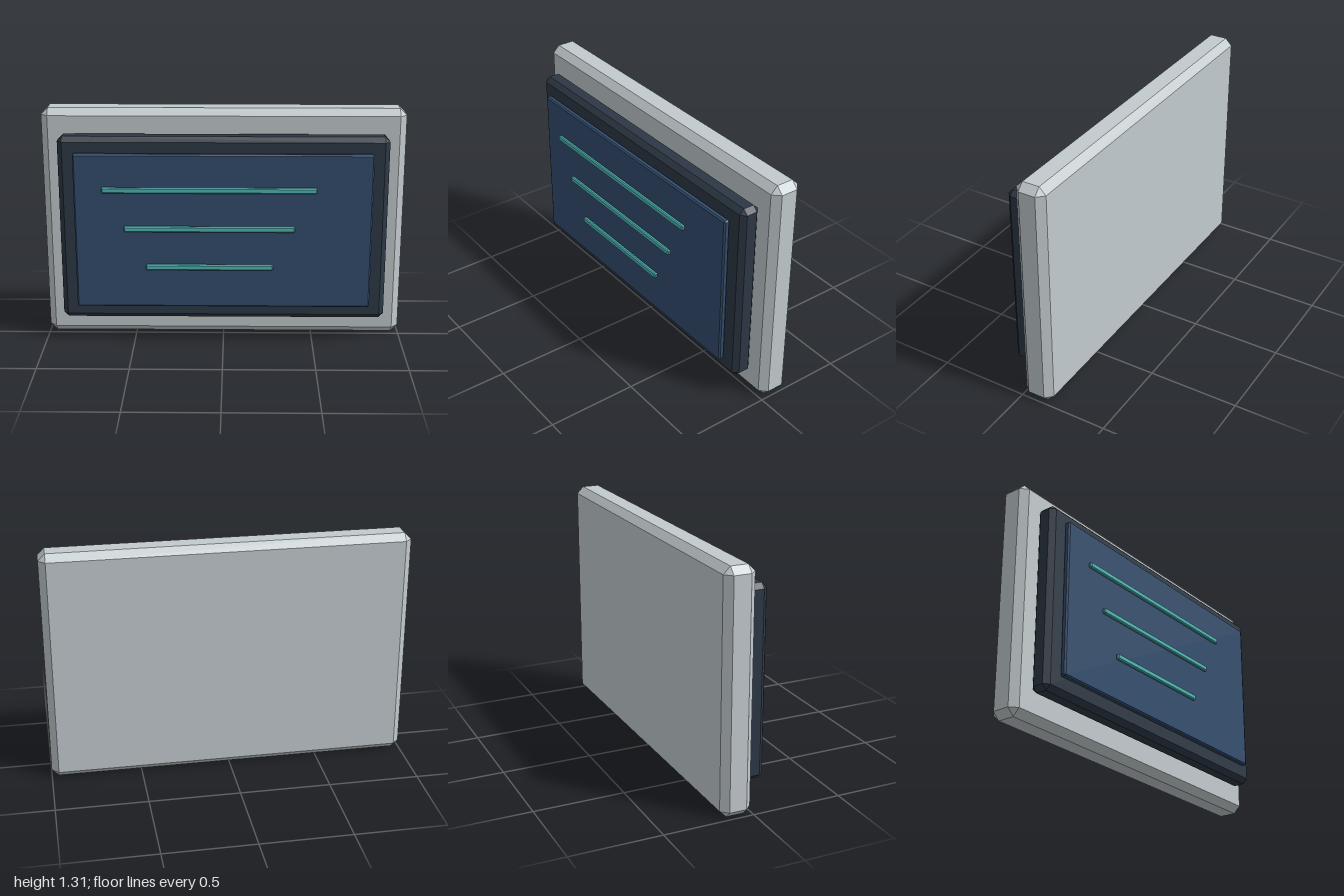
import * as THREE from 'three';
import { ConvexGeometry } from 'three/addons/geometries/ConvexGeometry.js';

// Box with every edge cut at 45 degrees and triangular corners
function chamferedBox(w, h, d, c) {
  const half = [w / 2, h / 2, d / 2];
  const points = [];
  for (const sx of [-1, 1]) for (const sy of [-1, 1]) for (const sz of [-1, 1]) {
    for (let full = 0; full < 3; full++) {
      const p = half.map((v, axis) => (axis === full ? v : v - c));
      points.push(new THREE.Vector3(p[0] * sx, p[1] * sy, p[2] * sz));
    }
  }
  return new ConvexGeometry(points);
}

export function createModel() {
  const group = new THREE.Group();
  const paint = (color) => new THREE.MeshStandardMaterial({ color, flatShading: true });
  const housingMat = paint(0xc3cbce);
  const bezelMat = paint(0x2d3845);
  const screenMat = paint(0x334d6e);
  const lineMat = paint(0x50b8b8);

  // Adds a chamfered slab spanning z0..z1, centred at (x, y)
  function slab(name, material, x, y, w, h, z0, z1, chamfer) {
    const mesh = new THREE.Mesh(chamferedBox(w, h, z1 - z0, chamfer), material);
    mesh.name = name;
    mesh.position.set(x, y, (z0 + z1) / 2);
    group.add(mesh);
  }

  // Layers from back to front
  slab('housing', housingMat, 0, 0.655, 2, 1.31, -0.175, -0.004, 0.038);
  slab('bezel', bezelMat, 0, 0.657, 1.8, 1.045, -0.004, 0.11, 0.027);
  slab('screen', screenMat, 0, 0.658, 1.626, 0.876, 0.116, 0.15, 0.008);

  // Three display lines, each shorter than the one above
  [[0.9, 1.166], [0.68, 0.932], [0.46, 0.699]].forEach(([y, width], i) => {
    slab(`displayLine${i + 1}`, lineMat, -0.076, y, width, 0.032, 0.153, 0.175, 0.006);
  });

  return group;
}
